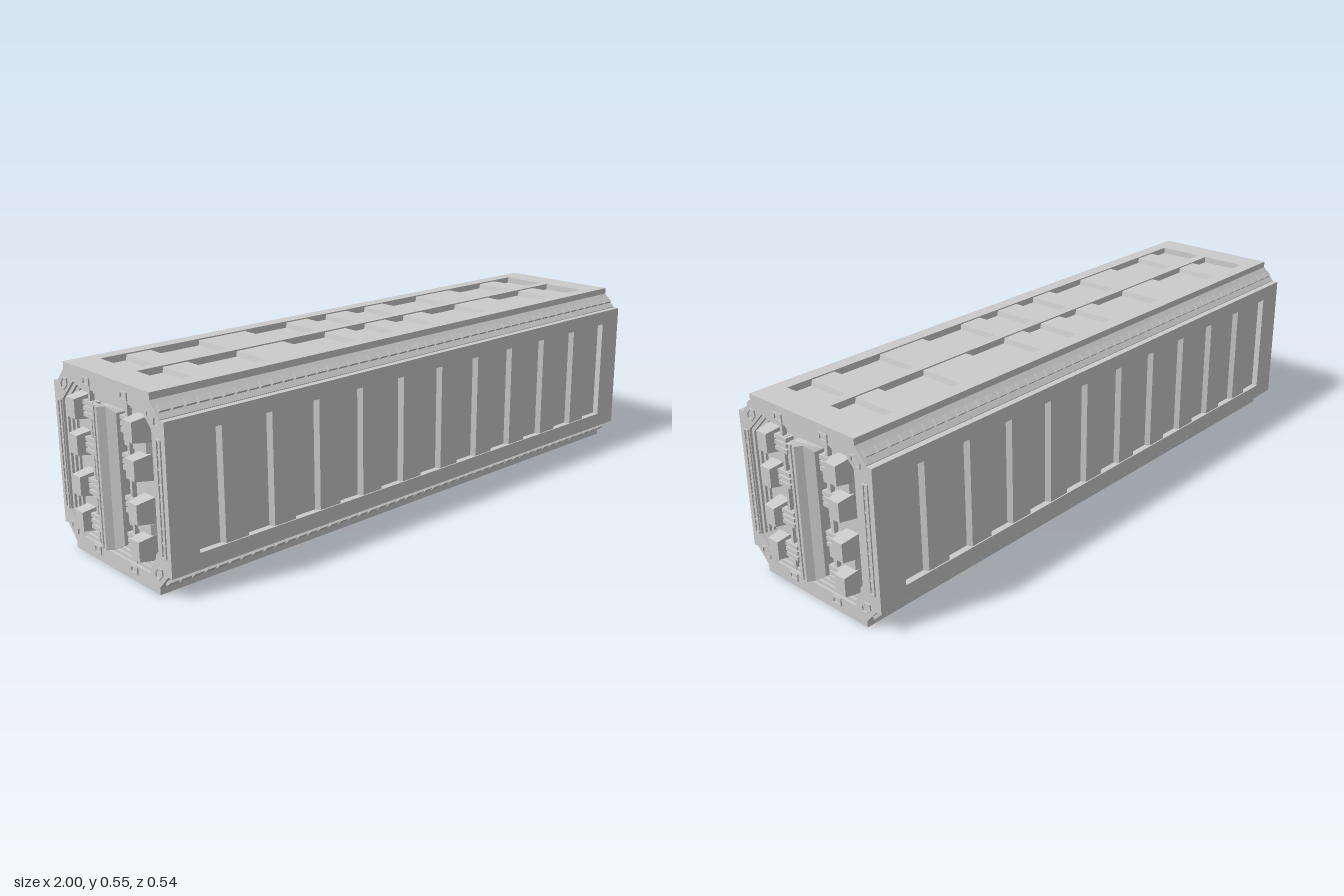
import * as THREE from 'three';

const mat = new THREE.MeshStandardMaterial({ color: 0xcccccc, flatShading: true });
const MID = 0.277;   // height of the long axis
const HALF = 0.965;  // half length of the body

function add(parent, name, geo, x = 0, y = 0, z = 0) {
  const m = new THREE.Mesh(geo, mat);
  m.name = name;
  m.position.set(x, y, z);
  parent.add(m);
  return m;
}

const poly = pts => new THREE.Shape(pts.map(p => new THREE.Vector2(p[0], p[1])));
const rect = (x0, x1, y0, y1) => [[x0, y0], [x1, y0], [x1, y1], [x0, y1]];
const oct = (a, b, cx, cy = cx) => [
  [a, -b + cy], [a, b - cy], [a - cx, b], [-a + cx, b],
  [-a, b - cy], [-a, -b + cy], [-a + cx, -b], [a - cx, -b]];

// Flat plate with optional holes, growing along +z
function plate(outline, holes, depth) {
  const s = poly(outline);
  holes.forEach(h => s.holes.push(poly(h)));
  return new THREE.ExtrudeGeometry(s, { depth, bevelEnabled: false });
}

// Box standing on z = 0 whose outer face is inset on each side
function taperBox(w, h, d, ix, iy = ix) {
  const g = new THREE.BoxGeometry(w, h, d).translate(0, 0, d / 2);
  const p = g.attributes.position;
  for (let i = 0; i < p.count; i++) {
    if (p.getZ(i) > d / 2) {
      p.setX(i, p.getX(i) - Math.sign(p.getX(i)) * ix);
      p.setY(i, p.getY(i) - Math.sign(p.getY(i)) * iy);
    }
  }
  g.computeVertexNormals();
  return g;
}

// Corrugated wall: framed recess with alternating raised panels
function sideWall() {
  const g = new THREE.Group();
  add(g, 'sideFrame', plate(rect(-HALF, HALF, -0.212, 0.212), [rect(-0.875, 0.875, -0.165, 0.167)], 0.02));
  const step = 1.75 / 21;
  for (let i = 1; i < 21; i += 2) {
    add(g, 'corrugation', taperBox(step + 0.008, 0.332, 0.016, 0.008, 0), -0.875 + (i + 0.5) * step, 0.001, 0);
  }
  return g;
}

// Roof or floor: two recessed strips with flush blocks
function deck() {
  const g = new THREE.Group();
  const strips = [rect(-0.875, 0.875, -0.166, -0.016), rect(-0.875, 0.875, 0.016, 0.166)];
  add(g, 'deckFrame', plate(rect(-HALF, HALF, -0.211, 0.211), strips, 0.02));
  const cuts = [-0.795, -0.71, -0.547, -0.372, -0.213, -0.125, -0.047];
  const all = [...cuts, ...cuts.map(v => -v).reverse()];
  for (let i = 0; i < all.length; i += 2) {
    for (const s of [-1, 1]) {
      add(g, 'deckBlock', taperBox(all[i + 1] - all[i], 0.15, 0.016, 0.003, 0), (all[i] + all[i + 1]) / 2, s * 0.091, 0);
    }
  }
  return g;
}

// End door; local z points outward from the middle of the container
function endDoor(coreOutline) {
  const g = new THREE.Group();
  const floor = 0.935;
  // Stepped octagonal recess
  for (let i = 0; i < 4; i++) {
    const d = i * 0.01;
    add(g, 'recessStep', plate(coreOutline, [oct(0.23 - d, 0.228 - d, 0.065 - d * 0.5)], 0.0075), 0, 0, HALF - 0.0075 * (i + 1));
  }
  // Central faceted column
  const half = [[0.05, 0], [0.05, 0.03], [0.025, 0.046], [0.012, 0.065], [0.003, 0.065], [0.003, 0.059]];
  const outline = [...half, ...half.map(([x, y]) => [-x, y]).reverse()];
  const col = plate(outline, [], 0.405).rotateX(Math.PI / 2).translate(0, 0.2025, 0);
  const p = col.attributes.position;
  for (let i = 0; i < p.count; i++) {
    const x = Math.abs(p.getX(i));
    if (x > 0.03) p.setY(i, p.getY(i) * 0.92);
  }
  // Profile depth points outward after the turn
  add(g, 'centerColumn', col, 0, 0, floor);

  for (const s of [-1, 1]) {
    // Locking rod with its end clips
    add(g, 'lockRod', new THREE.BoxGeometry(0.01, 0.45, 0.014), s * 0.092, 0, floor + 0.018);
    for (const t of [-1, 1]) {
      add(g, 'rodClip', plate(rect(-0.017, 0.017, -0.012, 0.012), [rect(-0.012, 0.012, -0.007, 0.007)], 0.005),
        s * 0.092, t * 0.243, HALF - 0.001);
      // Slanted corner fitting
      const hex = k => [[0.024 * k, 0], [0.013 * k, 0.014 * k], [-0.013 * k, 0.014 * k],
        [-0.024 * k, 0], [-0.013 * k, -0.014 * k], [0.013 * k, -0.014 * k]];
      add(g, 'cornerFitting', plate(hex(1), [hex(0.72)], 0.005), s * 0.212, t * 0.214, HALF - 0.001)
        .rotation.z = -s * t * Math.PI / 4;
      // Cross shelf between latch pairs
      add(g, 'crossShelf', taperBox(0.115, 0.034, 0.015, 0.006, 0.002), s * 0.108, t * 0.113, floor);
      // Latch blocks and hinge ladders
      for (const y of [0.06, 0.164]) {
        add(g, 'latchBlock', taperBox(0.048, 0.074, 0.055, 0.004, 0.009), s * 0.141, t * y, floor);
        for (const k of [-1, 0, 1]) {
          add(g, 'hingeBar', new THREE.BoxGeometry(0.05, 0.012, 0.026), s * 0.093, t * y + k * 0.017, floor + 0.018);
        }
        for (const k of [-1, 1]) {
          add(g, 'hingeStrap', new THREE.BoxGeometry(0.01, 0.048, 0.016), s * 0.093 + k * 0.012, t * y, floor + 0.018);
        }
      }
    }
    // Upright vent with slats
    add(g, 'sideVent', plate(rect(-0.01, 0.01, -0.162, 0.162), [rect(-0.006, 0.006, -0.158, 0.158)], 0.005),
      s * 0.243, 0, HALF - 0.001);
    for (let i = -3; i <= 3; i++) {
      add(g, 'ventSlat', new THREE.BoxGeometry(0.013, 0.004, 0.003), s * 0.243, i * 0.04, HALF + 0.001);
    }
  }
  return g;
}

export function createModel() {
  const root = new THREE.Group();
  root.name = 'cargoContainer';
  const body = new THREE.Group();
  body.name = 'container';
  body.position.y = MID;
  root.add(body);

  // Solid core, with room left for the recessed ends
  const core = oct(0.25, 0.256, 0.039, 0.042);
  add(body, 'core', plate(core, [], 1.87).translate(0, 0, -0.935).rotateY(Math.PI / 2));

  for (const s of [-1, 1]) {
    const wall = sideWall();
    wall.name = s > 0 ? 'frontWall' : 'backWall';
    wall.rotation.y = s > 0 ? 0 : Math.PI;
    wall.position.z = s * 0.25;

    const d = deck();
    d.name = s > 0 ? 'roof' : 'floor';
    d.rotation.x = -s * Math.PI / 2;
    d.position.y = s * 0.256;

    const end = endDoor(core);
    end.name = s > 0 ? 'leftEnd' : 'rightEnd';
    end.rotation.y = s * Math.PI / 2;
    body.add(wall, d, end);

    // Dashed trim along the four sloping edges
    for (const t of [-1, 1]) {
      const trim = new THREE.Group();
      trim.name = 'edgeTrim';
      trim.position.set(0, s * 0.237, t * 0.233);
      trim.rotation.x = -s * t * Math.PI / 4;
      for (let i = 0; i < 48; i++) {
        add(trim, 'trimDash', new THREE.BoxGeometry(0.032, 0.02, 0.012), -0.94 + i * 0.04, 0, 0);
      }
      body.add(trim);
    }
  }
  return root;
}
